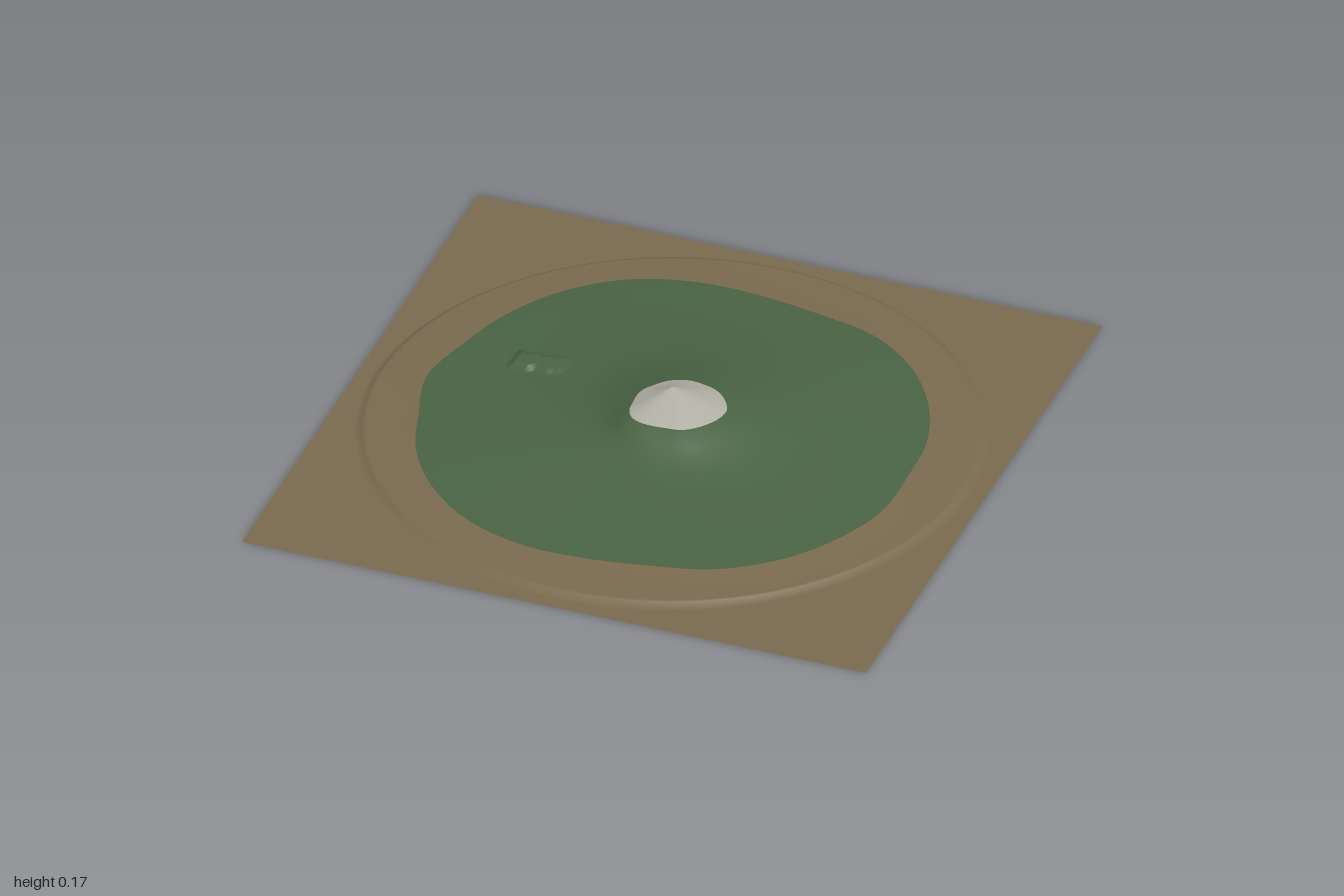
import * as THREE from 'three';

const SEG = 192; // divisible by 8, so square corners are hit exactly
const RIM = 0.93, FOOT = 0.95;

// Contour radii every 15 degrees, from +x towards +z
const SNOW = [.175, .175, .172, .17, .168, .157, .155, .157, .155, .14, .12, .11,
  .105, .10, .095, .095, .10, .105, .112, .118, .125, .138, .15, .162];
const GRASS = [.755, .775, .781, .785, .777, .75, .755, .778, .791, .787, .777, .763,
  .785, .771, .785, .803, .807, .785, .757, .752, .78, .785, .778, .768];

// Smooth closed interpolation of a contour at turn fraction u
function around(list, u) {
  const n = list.length, f = u * n, i = Math.floor(f), t = f - i;
  const [a, b, c, d] = [-1, 0, 1, 2].map(k => list[(i + k + n) % n]);
  return b + 0.5 * t * (c - a + t * (2 * a - 5 * b + 4 * c - d + t * (3 * (b - c) + d - a)));
}

// Raised flat building pad on the left slope
function withPad(x, y, z) {
  const inside = x > -0.56 && x < -0.405 && z > -0.195 && z < -0.115;
  return inside ? Math.max(y, 0.055) : y;
}

export function createModel() {
  const model = new THREE.Group();
  const material = (name, color) => {
    const m = new THREE.MeshStandardMaterial({ color, side: THREE.DoubleSide });
    m.name = name;
    return m;
  };
  const stone = material('pale stone', 0xb0b0a6);
  const green = material('grass green', 0x4a6344);
  const earth = material('earth brown', 0x7a6b4f);

  // Rows per band: summit, upper slope, lower slope, beach
  const steps = [10, 24, 56, 8];
  const rows = steps.reduce((a, b) => a + b) + 1 + 2;
  const positions = new Float32Array(rows * SEG * 3);

  for (let s = 0; s < SEG; s++) {
    const u = s / SEG, angle = u * Math.PI * 2;
    const c = Math.cos(angle), d = Math.sin(angle);
    const mid = 0.36 + 0.045 * c - 0.03 * d;
    // Slope profile in this direction
    const profile = new THREE.SplineCurve([
      [0, 0.17], [around(SNOW, u), 0.125], [mid, 0.06], [around(GRASS, u), 0.025], [RIM, 0.016],
    ].map(p => new THREE.Vector2(...p)));
    const points = [profile.getPoint(0)];
    steps.forEach((n, band) => {
      for (let k = 1; k <= n; k++) points.push(profile.getPoint((band + k / n) / 4));
    });
    // Rim drop, then the flat square plain
    points.push(new THREE.Vector2(FOOT, 0));
    points.push(new THREE.Vector2(1 / Math.max(Math.abs(c), Math.abs(d)), 0));
    points.forEach((p, row) => {
      const x = p.x * c, z = p.x * d;
      positions.set([x, withPad(x, p.y, z), z], (row * SEG + s) * 3);
    });
  }

  const indexRows = (from, to) => {
    const index = [];
    for (let r = from; r < to; r++) {
      for (let s = 0; s < SEG; s++) {
        const n = (s + 1) % SEG;
        const a = r * SEG + s, b = r * SEG + n, e = a + SEG, f = b + SEG;
        index.push(a, b, e, b, f, e);
      }
    }
    return index;
  };

  // Shared smooth normals for the island, so bands join without a crease
  const island = new THREE.BufferGeometry();
  island.setAttribute('position', new THREE.BufferAttribute(positions, 3));
  island.setIndex(indexRows(0, rows - 1));
  island.computeVertexNormals();

  const addBand = (name, mat, from, to) => {
    const g = island.clone();
    g.setIndex(indexRows(from, to));
    const mesh = new THREE.Mesh(g.toNonIndexed(), mat);
    mesh.name = name;
    model.add(mesh);
    return mesh;
  };
  const snowRow = steps[0], grassRow = snowRow + steps[1] + steps[2];
  addBand('summit', stone, 0, snowRow);
  addBand('grassSlopes', green, snowRow, grassRow);
  addBand('shoreAndRim', earth, grassRow, rows - 2);
  const plain = addBand('squarePlain', earth, rows - 2, rows - 1);
  plain.geometry.computeVertexNormals(); // keep the plain flat

  return model;
}
